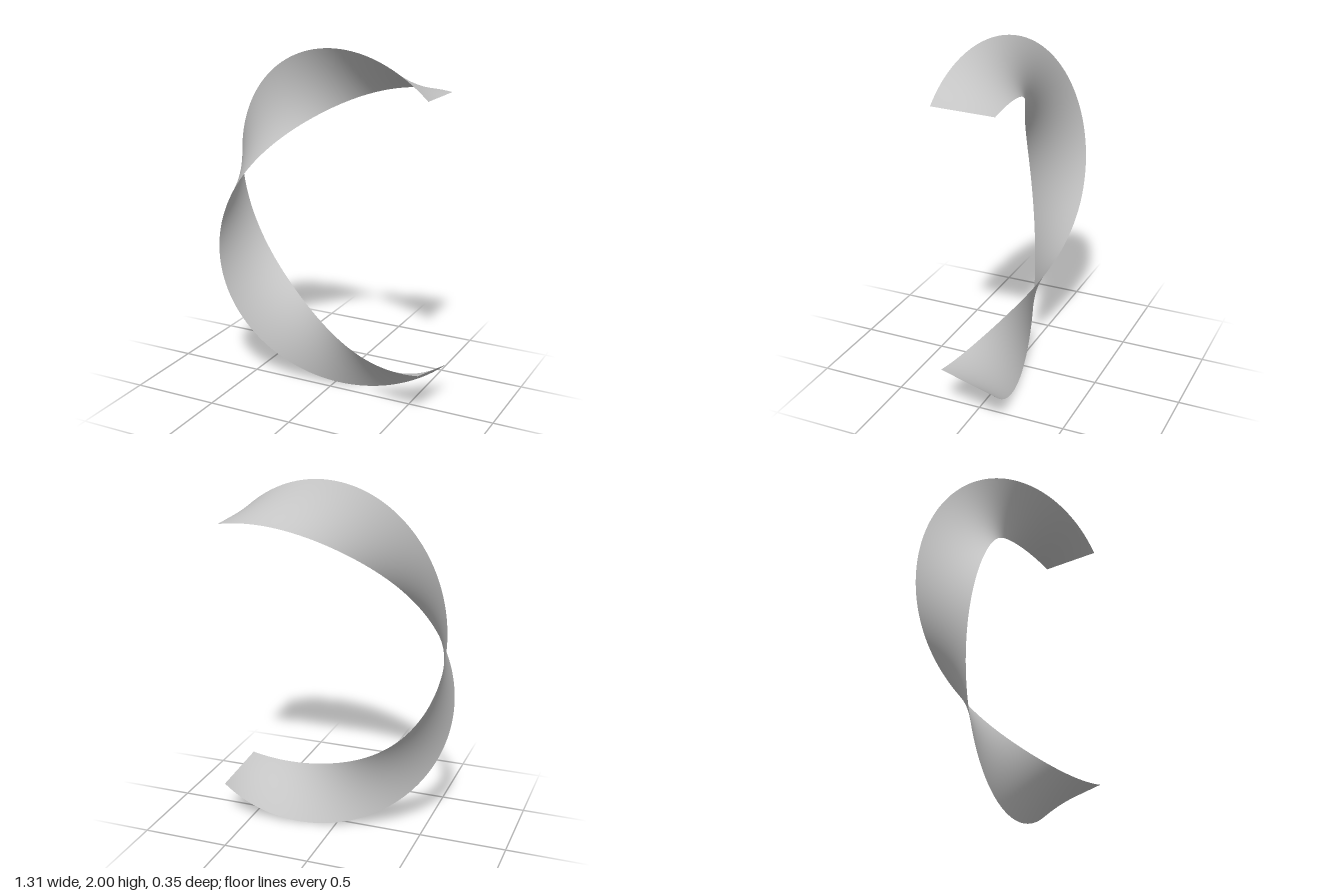
import * as THREE from 'three';
import { ParametricGeometry } from 'three/addons/geometries/ParametricGeometry.js';

const { degToRad, lerp } = THREE.MathUtils;

// Open ring that its ribbon follows
const CENTRE = { x: 0.248, y: 1.011 };
const RADIUS = 0.86;
const HALF_WIDTH = 0.174;
const ARC = [63.2, 296.8];   // start and end angle around the ring, degrees
const TWIST = [1.8, 348];    // ribbon roll at start and end, degrees

// u runs along the arc, v across the ribbon
function twistedRibbon(u, v, target) {
  const angle = degToRad(lerp(ARC[0], ARC[1], u));
  const roll = degToRad(lerp(TWIST[0], TWIST[1], u));
  const across = lerp(-HALF_WIDTH, HALF_WIDTH, v);
  const r = RADIUS + across * Math.sin(roll);
  target.set(
    CENTRE.x + r * Math.cos(angle),
    CENTRE.y + r * Math.sin(angle),
    across * Math.cos(roll)
  );
}

export function createModel() {
  const grey = new THREE.MeshStandardMaterial({ color: 0xc4c4c4, side: THREE.DoubleSide });
  grey.name = 'light grey';

  // Thin ribbon, twisting almost one full turn
  const ribbon = new THREE.Mesh(new ParametricGeometry(twistedRibbon, 180, 12), grey);
  ribbon.name = 'twistedRibbon';

  const model = new THREE.Group();
  model.name = 'twistedOpenRing';
  model.add(ribbon);
  return model;
}
